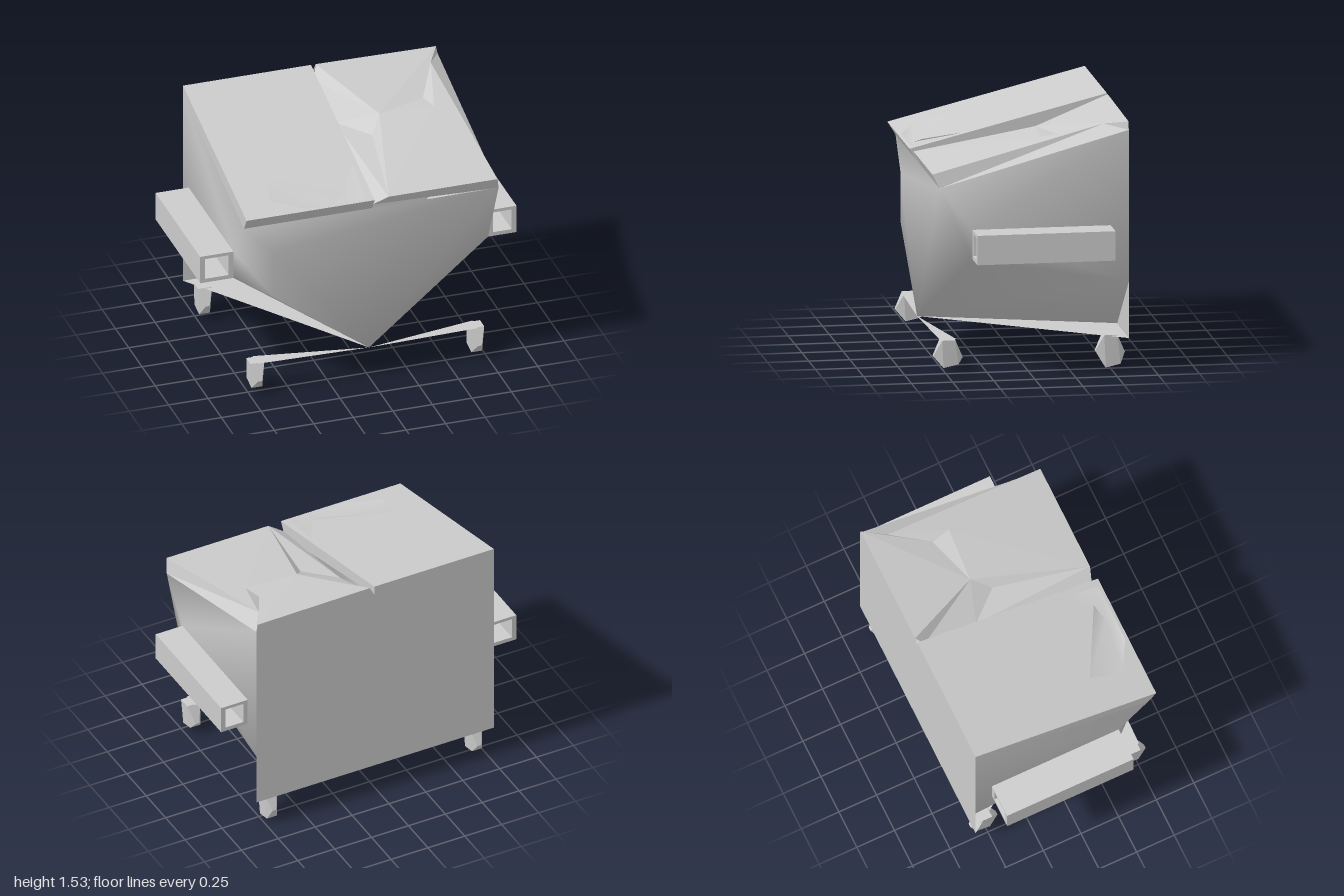
import * as THREE from 'three';
import { ConvexGeometry } from 'three/addons/geometries/ConvexGeometry.js';

const mat = new THREE.MeshStandardMaterial({ color: 0xcccccc, side: THREE.DoubleSide });
const lidY = z => 1.23 + (0.6 - z) * 0.25; // slope of the lids

// Polygons over named points; each polygon is split as a fan
function panel(name, pts, polys, smooth = false) {
  const keys = Object.keys(pts), index = [];
  for (const poly of polys) {
    const p = poly.split(' ').map(k => keys.indexOf(k));
    for (let i = 1; i < p.length - 1; i++) index.push(p[0], p[i], p[i + 1]);
  }
  let geo = new THREE.BufferGeometry();
  geo.setAttribute('position', new THREE.Float32BufferAttribute(Object.values(pts).flat(), 3));
  geo.setIndex(index);
  if (!smooth) geo = geo.toNonIndexed();
  geo.computeVertexNormals();
  const mesh = new THREE.Mesh(geo, mat);
  mesh.name = name;
  return mesh;
}

// Tapered bin: front folds in to one low point, back stays square
function makeBody() {
  const pts = { A: [0, 0.2, 0.55], E1: [-0.6, 0.95, 0.55], E0: [-0.6, 0.65, 0.55] };
  const shell = [
    'FTl E1 FTr', 'E1 A FTr', 'E1 E0 A',                       // front
    'FTl PF1l E1', 'PF1l PF0l E0', 'PF1l E0 E1', 'PF0l A E0',  // folded front corner
    'A PF0r FTr', 'PF0r PF1r FTr'
  ];
  const side = ['FT PF1 BT', 'PF1 PF0 BM', 'PF1 BM BT', 'PF0 A BM', 'A BI BM'];
  for (const [s, x] of [['r', 0.82], ['l', -0.79]]) {
    Object.assign(pts, {
      ['FT' + s]: [x, 1.15, 0.55], ['BT' + s]: [x, 1.47, -0.6],
      ['PF1' + s]: [x, 0.89, 0.35], ['PF0' + s]: [x, 0.71, 0.35],
      ['BM' + s]: [x, 0.54, -0.6], ['BC' + s]: [x, 0.195, -0.6],
      ['BI' + s]: [Math.sign(x) * 0.4, 0.2, -0.6]
    });
    for (const f of side) {
      const names = f.split(' ').map(k => (k === 'A' ? k : k + s));
      shell.push((s === 'r' ? names : names.reverse()).join(' '));
    }
  }
  const body = new THREE.Group();
  body.name = 'binBody';
  body.add(
    panel('frontAndSides', pts, shell, true),
    panel('backPanel', pts, ['BTr BCr BCl BTl']),
    panel('floor', pts, ['A BCl BCr'])
  );
  return body;
}

// Closed lid with a crumpled dent near its front edge
function makeClosedLid() {
  const g = new THREE.Group();
  g.name = 'closedLid';
  const dent = [[-0.56, 0.27], [-0.6, 0.47], [-0.4, 0.58], [-0.03, 0.58], [-0.01, 0.28], [-0.09, 0.4], [-0.13, 0.5]];
  const v2 = a => a.map(([x, z]) => new THREE.Vector2(x, -z));
  const shape = new THREE.Shape(v2([[-0.79, 0.6], [0.02, 0.6], [0.02, -0.6], [-0.79, -0.6]]));
  shape.holes.push(new THREE.Path(v2(dent)));
  const geo = new THREE.ShapeGeometry(shape).rotateX(-Math.PI / 2);
  const p = geo.attributes.position;
  for (let i = 0; i < p.count; i++) p.setY(i, lidY(p.getZ(i)));
  geo.computeVertexNormals();
  const top = new THREE.Mesh(geo, mat);
  top.name = 'lidTop';
  g.add(top);

  const dp = { c: [-0.24, lidY(0.53) - 0.03, 0.53] };
  dent.forEach(([x, z], i) => { dp['d' + i] = [x, lidY(z), z]; });
  g.add(panel('lidDent', dp, dent.map((_, i) => `c d${i} d${(i + 1) % dent.length}`), true));

  g.add(panel('lidSkirt', {
    a: [-0.79, 1.23, 0.6], b: [0.02, 1.23, 0.6], c: [0.02, 1.53, -0.6], d: [-0.79, 1.53, -0.6],
    e: [-0.79, 1.15, 0.55], f: [0.02, 1.15, 0.55], h: [0.02, 1.47, -0.6], i: [-0.79, 1.47, -0.6]
  }, ['a e f b', 'b f h c', 'c h i d', 'd i e a']));
  return g;
}

// Crushed lid: sloping panel with torn, folded edges
function makeCrushedLid() {
  const on = (x, z, drop = 0) => [x, lidY(z) - drop, z];
  return panel('crushedLid', {
    bl: on(0.05, -0.6), br: on(0.81, -0.6, 0.01), m: on(0.29, -0.12, 0.01), n: on(0.6, -0.22, 0.03),
    o: on(0.63, -0.1), q: on(0.73, -0.46), fr: on(0.8, 0.59), fl: on(0.11, 0.59),
    p: on(0.21, -0.01, 0.06), vb: [0.02, 1.45, -0.55], vm: [0.04, 1.34, -0.2], vf: [0.02, 1.18, 0.56],
    rf: [0.82, 1.15, 0.55], rb: [0.82, 1.47, -0.6], lb: [0.02, 1.47, -0.6]
  }, [
    'fl fr o', 'fl o m', 'o n m', 'fr q o', 'o q n', // main panel
    'bl m br', 'br m n', 'br n q',                   // folded back part
    'bl vb m', 'vb vm m', 'vm p m', 'vm fl p', 'p fl m', 'vm vf fl', // gap beside the other lid
    'vf rf fl', 'fl rf fr',                          // front lip
    'rf rb q fr', 'rb br q', 'br rb lb bl'           // folded side and back skirt
  ]);
}

// Hollow lifting pocket on each flank
function makePocket(x0, x1) {
  const rect = (P, a, b, c, d) => {
    const r = new P();
    r.moveTo(a, c); r.lineTo(b, c); r.lineTo(b, d); r.lineTo(a, d); r.closePath();
    return r;
  };
  const shape = rect(THREE.Shape, x0, x1, 0.71, 0.89);
  shape.holes.push(rect(THREE.Path, x0 + 0.03, x1 - 0.03, 0.735, 0.87));
  const mesh = new THREE.Mesh(
    new THREE.ExtrudeGeometry(shape, { depth: 0.84, bevelEnabled: false }).translate(0, 0, -0.49), mat);
  mesh.name = 'liftPocket';
  return mesh;
}

// Faceted caster, wide across the middle and narrow at the ends
function makeCaster(x, z, low) {
  const outline = [[-0.04, 0.2], [0.04, 0.2], [0.09, 0.1], [0.03, low], [-0.06, low + 0.02], [-0.09, 0.09]];
  const pts = [];
  outline.forEach(([dz, y], i) => {
    const w = i === 2 || i === 5 ? 0.012 : y > 0.15 ? 0.044 : 0.034;
    for (const s of [-1, 1]) pts.push(new THREE.Vector3(x + s * w, y, z + dz));
  });
  const mesh = new THREE.Mesh(new ConvexGeometry(pts), mat);
  mesh.name = 'caster';
  return mesh;
}

export function createModel() {
  const model = new THREE.Group();
  model.name = 'wasteContainer';
  model.add(makeBody(), makeClosedLid(), makeCrushedLid(), makePocket(0.82, 1), makePocket(-1, -0.79));
  for (const s of [-1, 1]) {
    const x = s * 0.695;
    model.add(makeCaster(x, 0.48, 0.03), makeCaster(x, -0.505, s > 0 ? 0 : 0.02));
    // thin strut from the low front point to the front caster
    model.add(panel('casterStrut', {
      a: [0, 0.2, 0.55], b: [x, 0.2, 0.53], c: [x, 0.2, 0.43], d: [x, 0.18, 0.48]
    }, ['a b c', 'a b d', 'a d c']));
  }
  return model;
}
